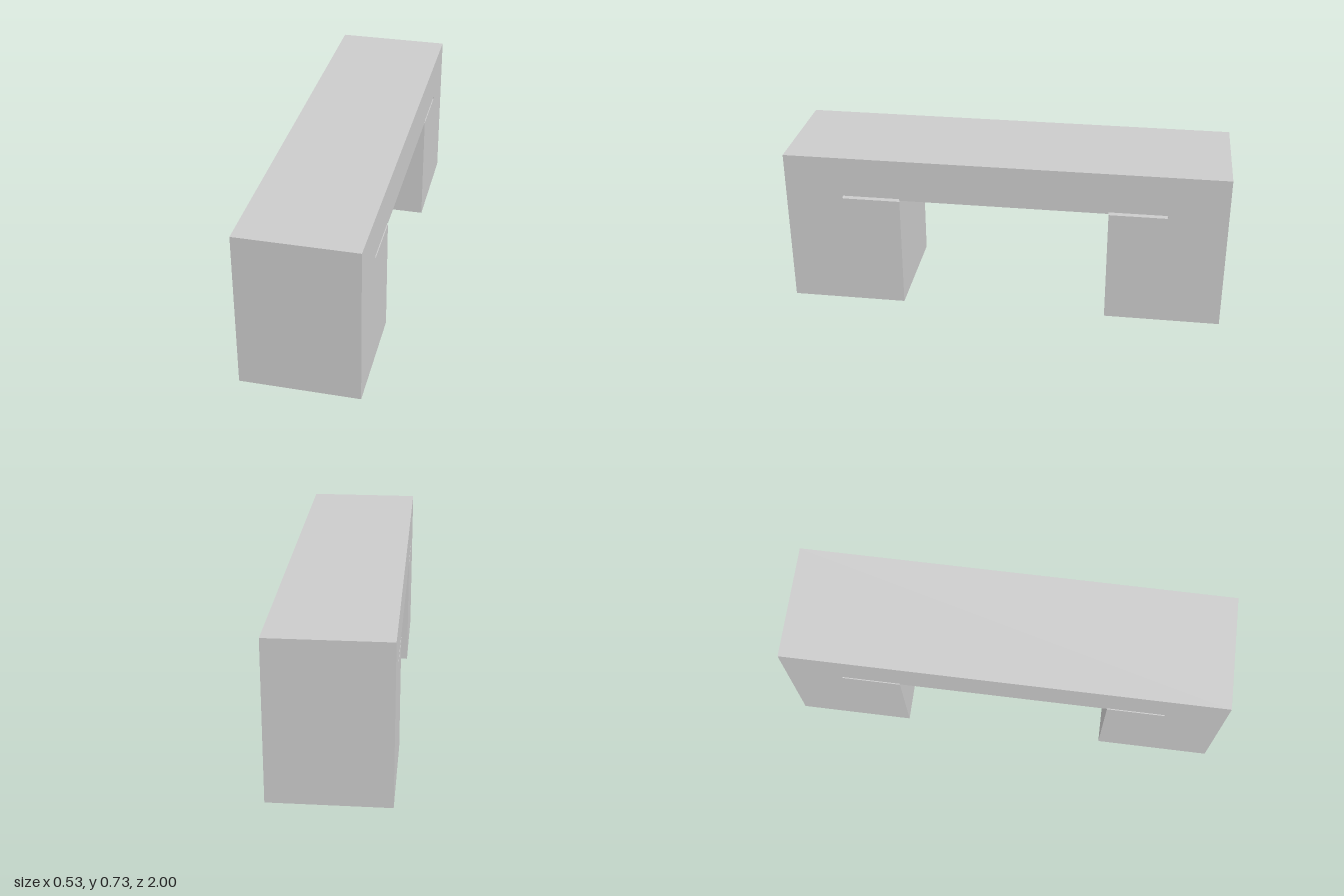
import * as THREE from 'three';

const WIDTH = 0.528, HEIGHT = 0.73, HALF_LENGTH = 1;
const LEG_INNER = 0.473;                         // inner face of each leg
const SPAN_BOTTOM = 0.535;                       // underside of the bridge
const SLOT_END = 0.738, SLOT_LOW = 0.529, SLOT_HIGH = 0.543;

export function createModel() {
  const group = new THREE.Group();
  group.name = 'slottedBridge';

  // Side profile: a bridge on two legs, with a thin slot cut into each inner corner
  const r = (SLOT_HIGH - SLOT_LOW) / 2, mid = SLOT_LOW + r;
  const profile = new THREE.Shape();
  profile.moveTo(-HALF_LENGTH, 0);
  profile.lineTo(-LEG_INNER, 0);
  profile.lineTo(-LEG_INNER, SLOT_LOW);
  profile.lineTo(-SLOT_END + r, SLOT_LOW);
  profile.absarc(-SLOT_END + r, mid, r, -Math.PI / 2, -Math.PI * 1.5, true);
  profile.lineTo(-LEG_INNER, SLOT_HIGH);
  profile.lineTo(-LEG_INNER, SPAN_BOTTOM);
  profile.lineTo(LEG_INNER, SPAN_BOTTOM);
  profile.lineTo(LEG_INNER, SLOT_HIGH);
  profile.lineTo(SLOT_END - r, SLOT_HIGH);
  profile.absarc(SLOT_END - r, mid, r, Math.PI / 2, -Math.PI / 2, true);
  profile.lineTo(LEG_INNER, SLOT_LOW);
  profile.lineTo(LEG_INNER, 0);
  profile.lineTo(HALF_LENGTH, 0);
  profile.lineTo(HALF_LENGTH, HEIGHT);
  profile.lineTo(-HALF_LENGTH, HEIGHT);
  profile.closePath();

  // Extrude across the width, then turn the length onto z
  const geometry = new THREE.ExtrudeGeometry(profile, { depth: WIDTH, bevelEnabled: false, curveSegments: 8 });
  geometry.translate(0, 0, -WIDTH / 2);
  geometry.rotateY(-Math.PI / 2);

  const body = new THREE.Mesh(geometry, new THREE.MeshStandardMaterial({ color: 0xcccccc }));
  body.name = 'bridgeBody';
  group.add(body);
  return group;
}
